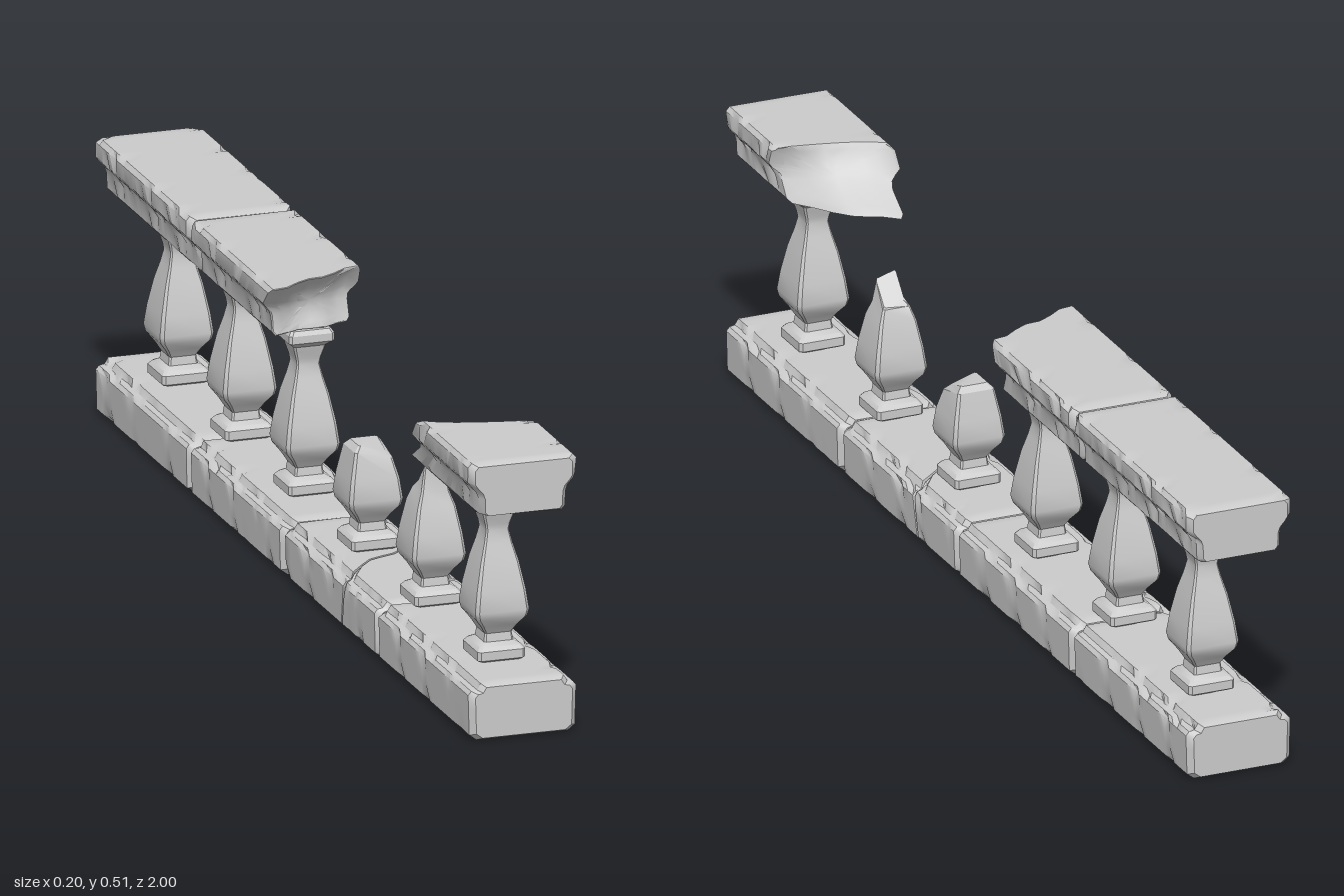
import * as THREE from 'three';
import { toCreasedNormals } from 'three/addons/utils/BufferGeometryUtils.js';

const material = new THREE.MeshStandardMaterial({ color: 0xcccccc, roughness: 0.9 });
const { lerp, clamp } = THREE.MathUtils;

// Right halves of the stone cross-sections, bottom to top
const BASE = [[0.085, 0.002], [0.098, 0.012], [0.1, 0.085], [0.094, 0.092], [0.084, 0.094], [0.077, 0.105]];
const RAIL = [[0.073, 0.41], [0.079, 0.417], [0.08, 0.445], [0.084, 0.456], [0.094, 0.467], [0.1, 0.476], [0.1, 0.503], [0.093, 0.511]];

// Square baluster: half-width against height
const BALUSTER = [
  [0.038, 0.105], [0.044, 0.109], [0.044, 0.125], [0.038, 0.132], [0.027, 0.138], [0.025, 0.153],
  [0.034, 0.168], [0.047, 0.185], [0.05, 0.198], [0.045, 0.235], [0.035, 0.285], [0.026, 0.317],
  [0.021, 0.34], [0.023, 0.352], [0.028, 0.368], [0.03, 0.376], [0.042, 0.386], [0.042, 0.4], [0.037, 0.408],
];

// Mirror a half profile into a closed outline, dividing the long edges
function outline(half) {
  const corners = [...half, ...half.map(([x, y]) => [-x, y]).reverse()];
  const points = [];
  corners.forEach(([x, y], i) => {
    const [nx, ny] = corners[(i + 1) % corners.length];
    const n = Math.max(1, Math.round(Math.hypot(nx - x, ny - y) / 0.025));
    for (let k = 0; k < n; k++) {
      points.push({ x: lerp(x, nx, k / n), y: lerp(y, ny, k / n), corner: k === 0 && Math.abs(x) > 0.072 });
    }
  });
  return points;
}

// Stone block swept along z. Each end is a position or a function of (x, y) for a broken face.
function stone(name, half, start, end, seed) {
  const points = outline(half);
  const cy = (half[0][1] + half[half.length - 1][1]) / 2;
  const at = (f, x, y) => (typeof f === 'function' ? f(x, y) : f);
  const length = at(end, 0, cy) - at(start, 0, cy);
  const bevel = 0.011 / length;
  const steps = Math.ceil(length / 0.02);

  // Rings of [scale, fraction of length]: cap, worn edge, body, worn edge, cap
  const cap = (f) => (typeof f === 'function' ? [0, 0.25, 0.5, 0.75, 0.97] : [0, 0.9]);
  const rings = cap(start).map((s) => [s, 0]);
  for (let i = 0; i <= steps; i++) {
    rings.push([1, lerp(typeof start === 'function' ? 0.003 : bevel, 1 - (typeof end === 'function' ? 0.003 : bevel), i / steps)]);
  }
  rings.push(...cap(end).reverse().map((s) => [s, 1]));

  const position = [];
  const index = [];
  const n = points.length;
  rings.forEach(([scale, t], r) => {
    points.forEach((p, j) => {
      let x = p.x * scale;
      let y = cy + (p.y - cy) * scale;
      const z = lerp(at(start, x, y), at(end, x, y), t);
      // Small chips along the long edges
      if (p.corner && scale === 1) {
        const k = seed * 2.3 + j * 1.7;
        const chip = 0.007 * Math.max(0, Math.sin(z * 43 + k) + Math.sin(z * 97 + k * 2.1) - 0.9);
        x -= Math.sign(x) * chip;
        y -= Math.sign(y - cy) * chip * 0.6;
      }
      position.push(x, y, z);
      if (r > 0) {
        const a = (r - 1) * n + j;
        const b = (r - 1) * n + (j + 1) % n;
        index.push(a, b, b + n, a, b + n, a + n);
      }
    });
  });
  const geometry = new THREE.BufferGeometry();
  geometry.setAttribute('position', new THREE.Float32BufferAttribute(position, 3));
  geometry.setIndex(index);
  const mesh = new THREE.Mesh(toCreasedNormals(geometry, 0.6), material);
  mesh.name = name;
  return mesh;
}

// Square turned post with narrow corner bevels; "shape" reworks the broken top
function baluster(name, z, profile, shape) {
  const top = profile[profile.length - 1][1];
  const pts = [[0, 0.105], ...profile, [0, top]].map(([r, y]) => new THREE.Vector2(r, y));
  const geometry = new THREE.LatheGeometry(pts, 8);
  const pos = geometry.attributes.position;
  for (let i = 0; i < pos.count; i++) {
    const r = pts[i % pts.length].x;
    const k = Math.floor(i / pts.length) % 8;
    const side = Math.floor(k / 2) * Math.PI / 2;
    const across = (k % 2 ? 1 : -1) * r * 0.88;
    // Two vertices per face, facing out along "side"
    const v = new THREE.Vector3(
      Math.sin(side) * r + Math.cos(side) * across,
      pos.getY(i),
      Math.cos(side) * r - Math.sin(side) * across,
    );
    if (shape) shape(v, top);
    pos.setXYZ(i, v.x, v.y, v.z);
  }
  const mesh = new THREE.Mesh(toCreasedNormals(geometry, 0.5), material);
  mesh.name = name;
  mesh.position.z = z;
  return mesh;
}

export function createModel() {
  const model = new THREE.Group();
  model.name = 'brokenBalustrade';

  // Plinth of four stones, one of them cracked across
  const crack = (gap) => (x, y) => 0.245 - 0.7 * x + 1.5 * x * x + 0.008 * Math.sin(x * 60) - (0.105 - y) * 0.2 + gap;
  model.add(
    stone('baseBack', BASE, -1, -0.498, 1),
    stone('baseMiddleBack', BASE, -0.494, -0.002, 2),
    stone('baseCrackedBack', BASE, 0.002, crack(-0.002), 3),
    stone('baseCrackedFront', BASE, crack(0.002), 0.498, 4),
    stone('baseFront', BASE, 0.502, 1, 5),
  );

  // Handrail with a broken-out middle
  const across = (x) => clamp((x + 0.1) / 0.2, 0, 1);
  const up = (y) => clamp((y - 0.41) / 0.1, 0, 1);
  const breakBack = (x, y) => lerp(lerp(-0.11, -0.06, up(y)), -0.15, across(x))
    - 0.022 * Math.sin(Math.PI * up(y)) + 0.006 * Math.sin(x * 70);
  const breakFront = (x, y) => {
    const u = across(x);
    const low = lerp(0.585, 0.78, u) + 0.012 * Math.sin(u * 9);
    const high = 0.715 + 0.075 * Math.sqrt(u);
    return lerp(low, high, up(y)) + 0.02 * Math.sin(Math.PI * up(y));
  };
  model.add(
    stone('railBack', RAIL, -1, -0.499, 6),
    stone('railMiddle', RAIL, -0.495, breakBack, 7),
    stone('railFront', RAIL, breakFront, 1, 8),
  );

  // Whole balusters
  for (const z of [-0.835, -0.5, -0.165, 0.84]) model.add(baluster('baluster', z, BALUSTER));

  // Baluster snapped at the neck, leaving a leaning point
  model.add(baluster('snappedBaluster', 0.505, [...BALUSTER.slice(0, 11), [0.026, 0.31], [0.019, 0.335]], (v, top) => {
    if (v.y >= top) {
      v.y += v.z * 1.1 - v.x * 0.3;
      v.z += 0.004;
    }
  }));

  // Baluster stump with a chipped corner
  model.add(baluster('baluster stump', 0.17, [...BALUSTER.slice(0, 11), [0.025, 0.295]], (v, top) => {
    if (v.y >= top - 0.011 && v.x > 0.01 && v.z > 0.01) v.y -= 0.014;
  }));

  return model;
}
